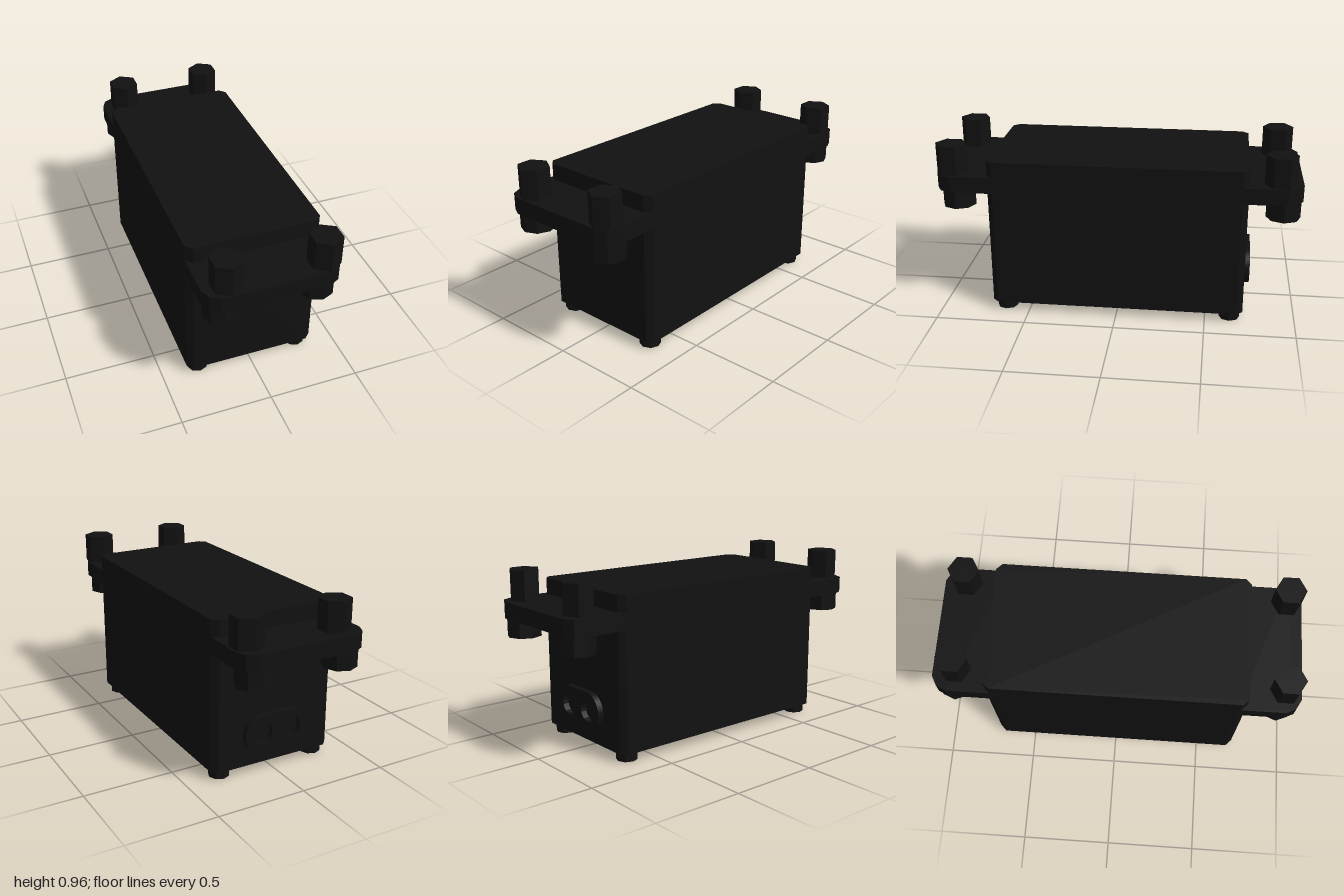
import * as THREE from 'three';

const material = new THREE.MeshStandardMaterial({ color: 0x111111, flatShading: true });

function add(parent, name, geometry, x = 0, y = 0, z = 0) {
  const mesh = new THREE.Mesh(geometry, material);
  mesh.name = name;
  mesh.position.set(x, y, z);
  parent.add(mesh);
  return mesh;
}

// Horizontal slab: outline given as (x, z), rising from y = 0
function slab(points, height) {
  const shape = new THREE.Shape(points.map(([x, z]) => new THREE.Vector2(x, -z)));
  return new THREE.ExtrudeGeometry(shape, { depth: height, bevelEnabled: false }).rotateX(-Math.PI / 2);
}

// Octagonal screw head with a socket opening downward
function screwHead(radius, height, socketRadius, socketDepth) {
  const profile = [
    [0, socketDepth], [socketRadius, socketDepth], [socketRadius, 0],
    [radius, 0], [radius, height], [0, height],
  ].map(([r, y]) => new THREE.Vector2(r, y));
  return new THREE.LatheGeometry(profile, 8);
}

export function createModel() {
  const model = new THREE.Group();
  model.name = 'servoMotor';
  const W = 0.365, D = 0.71, C = 0.033;

  // Case with chamfered upright edges
  add(model, 'case', slab([
    [-W + C, D], [W - C, D], [W, D - C], [W, -D + C],
    [W - C, -D], [-W + C, -D], [-W, -D + C], [-W, D - C],
  ], 0.84), 0, 0.05, 0);

  // Mounting ears with faceted outer corners
  const ear = slab([
    [-W, 0.66], [-W, 0.915], [-0.34, 0.97], [-0.285, 1],
    [0.285, 1], [0.34, 0.97], [W, 0.915], [W, 0.66],
  ], 0.09);
  for (const s of [1, -1]) {
    const mesh = add(model, s > 0 ? 'frontEar' : 'backEar', ear, 0, 0.71, 0);
    if (s < 0) mesh.rotation.y = Math.PI;
  }

  // Hex posts above the ears, socket screws below them
  const post = new THREE.CylinderGeometry(0.086, 0.086, 0.165, 6);
  const head = screwHead(0.093, 0.103, 0.05, 0.05);
  for (const [side, postZ, headZ] of [['front', 0.914, 0.89], ['back', -0.876, -0.9]]) {
    for (const x of [-0.235, 0.28]) add(model, side + 'HexPost', post, x, 0.8825, postZ);
    for (const x of [-0.26, 0.26]) add(model, side + 'EarScrew', head, x, 0.607, headZ);
  }

  // Case screws underneath
  const foot = screwHead(0.058, 0.052, 0.03, 0.03);
  for (const x of [-0.292, 0.292]) {
    for (const z of [-0.637, 0.637]) add(model, 'caseScrew', foot, x, 0, z);
  }

  // Cable grommet on the back: rounded plate with two round openings
  const plate = new THREE.Shape();
  plate.absarc(0.088, 0, 0.103, -Math.PI / 2, Math.PI / 2, false);
  plate.absarc(-0.088, 0, 0.103, Math.PI / 2, Math.PI * 1.5, false);
  plate.closePath();
  for (const x of [-0.088, 0.088]) {
    const hole = new THREE.Path();
    hole.absarc(x, 0, 0.06, 0, Math.PI * 2, true);
    plate.holes.push(hole);
  }
  add(model, 'cableGrommet',
    new THREE.ExtrudeGeometry(plate, { depth: 0.04, bevelEnabled: false, curveSegments: 10 }),
    0, 0.232, -0.743);

  return model;
}
